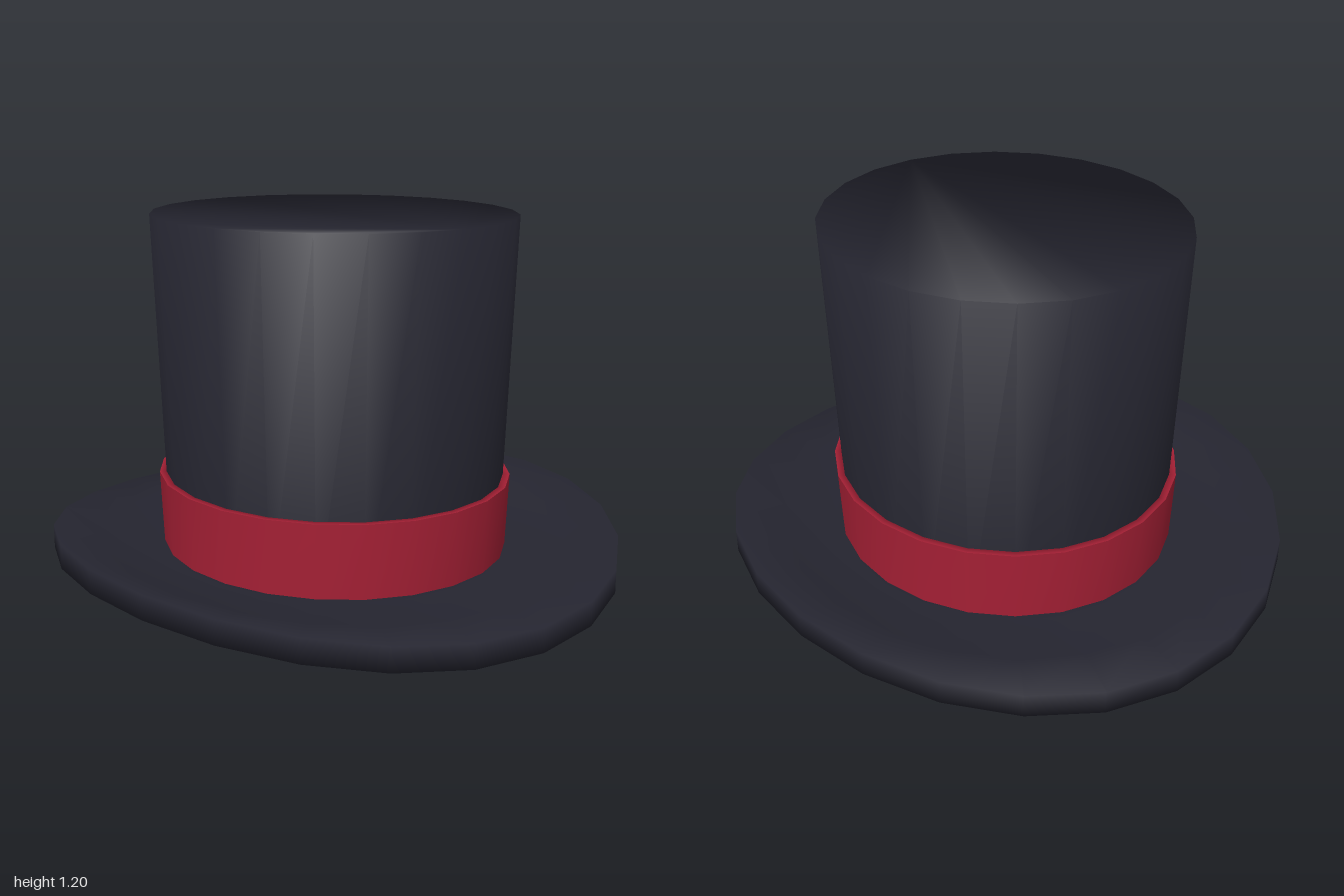
import * as THREE from 'three';

const SIDES = 24;
const DEPTH = 0.94; // the hat is slightly narrower front to back

// Revolves a [radius, y] profile into an oval shell. A repeated point makes a crease.
// lift(radius, angle) raises points; mode is 'capped' or 'ring' (profile closes on itself).
function revolve(profile, mode, lift = () => 0) {
  const positions = [];
  const index = [];
  for (const [r, y] of profile) {
    for (let j = 0; j < SIDES; j++) {
      const a = (j / SIDES) * Math.PI * 2;
      positions.push(r * Math.cos(a), y + lift(r, a), r * Math.sin(a) * DEPTH);
    }
  }
  const rows = profile.length;
  const spans = mode === 'ring' ? rows : rows - 1;
  for (let i = 0; i < spans; i++) {
    const k = (i + 1) % rows;
    if (profile[i][0] === profile[k][0] && profile[i][1] === profile[k][1]) continue;
    for (let j = 0; j < SIDES; j++) {
      const n = (j + 1) % SIDES;
      const a = i * SIDES + j, b = k * SIDES + j;
      const c = i * SIDES + n, d = k * SIDES + n;
      index.push(a, b, c, b, d, c);
    }
  }
  if (mode === 'capped') {
    const top = (rows - 1) * SIDES;
    for (let j = 1; j < SIDES - 1; j++) {
      index.push(0, j, j + 1);
      index.push(top, top + j + 1, top + j);
    }
  }
  const geometry = new THREE.BufferGeometry();
  geometry.setAttribute('position', new THREE.Float32BufferAttribute(positions, 3));
  geometry.setIndex(index);
  geometry.computeVertexNormals();
  return geometry;
}

export function createModel() {
  const felt = new THREE.MeshStandardMaterial({ color: 0x252530 });
  felt.name = 'dark felt';
  const ribbon = new THREE.MeshStandardMaterial({ color: 0xa62035 });
  ribbon.name = 'red ribbon';

  const hat = new THREE.Group();
  hat.name = 'topHat';
  const add = (name, geometry, material) => {
    const mesh = new THREE.Mesh(geometry, material);
    mesh.name = name;
    hat.add(mesh);
  };

  // Crown: flared wall, flat top, and a small plug showing under the brim
  const crown = revolve([
    [0.44, 0], [0.44, 0], [0.455, 0.05],
    [0.586, 0.05], [0.586, 0.05], [0.628, 1.2],
  ], 'capped');
  // Soft shading over the top edge
  const normals = crown.attributes.normal;
  const v = new THREE.Vector3();
  for (let j = 0; j < SIDES; j++) {
    const a = (j / SIDES) * Math.PI * 2;
    v.set(Math.cos(a), 0.45, Math.sin(a)).normalize();
    normals.setXYZ(5 * SIDES + j, v.x, v.y, v.z);
  }
  add('crown', crown, felt);

  // Brim: thick ring that curls up at the front and back
  const curl = (r, a) => 0.6 * Math.max(0, r - 0.6) ** 2 * Math.sin(a) ** 2;
  add('brim', revolve([
    [0.45, 0.035], [0.62, 0.003], [0.82, 0], [1, 0],
    [1, 0.08], [0.82, 0.08], [0.63, 0.083], [0.55, 0.083],
  ], 'ring', curl), felt);

  // Ribbon band around the base of the crown
  add('hatBand', revolve([
    [0.58, 0.06], [0.608, 0.06], [0.608, 0.06],
    [0.62, 0.328], [0.62, 0.328], [0.58, 0.328],
  ], 'ring'), ribbon);

  return hat;
}
